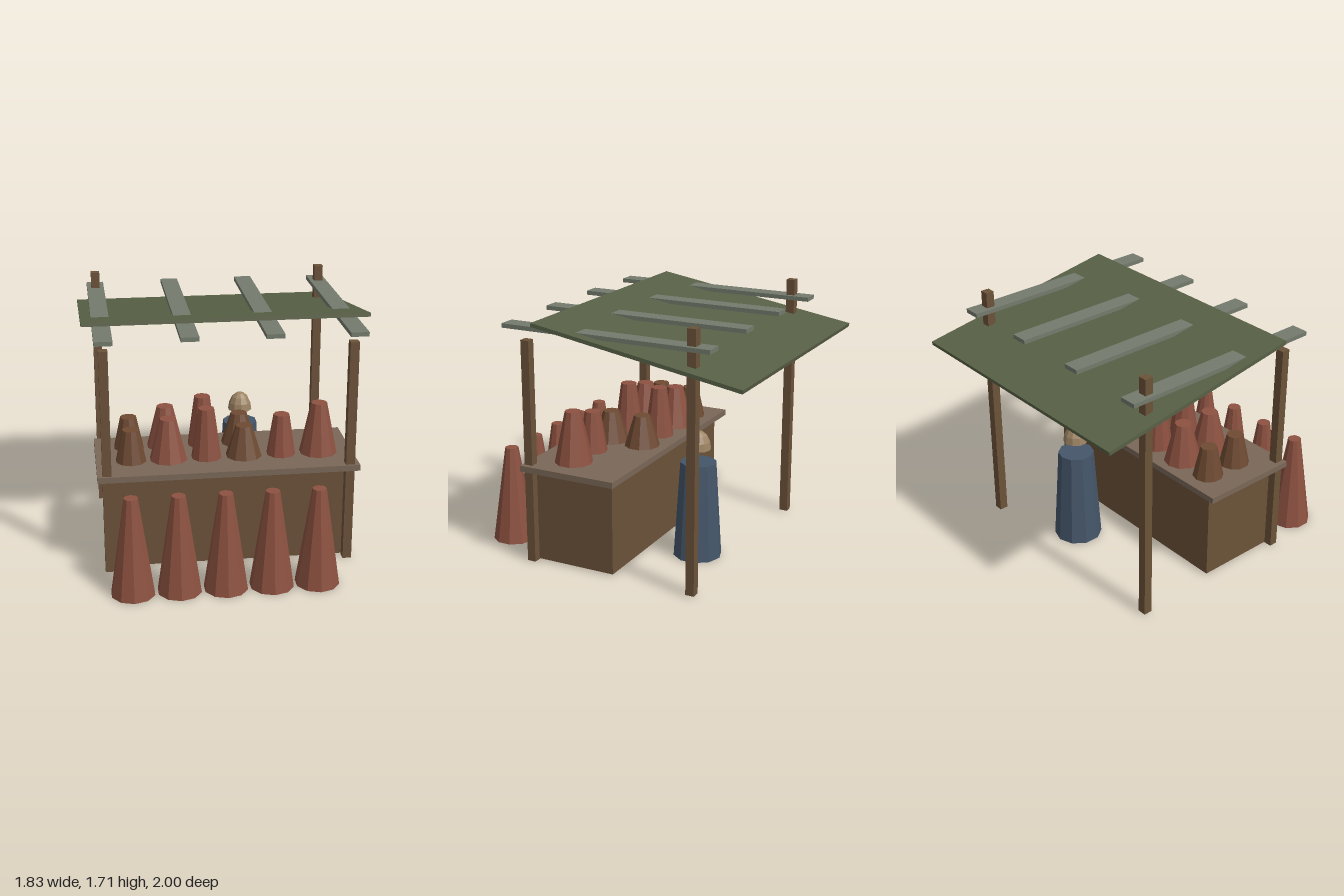
import * as THREE from 'three';

const mat = (color) => new THREE.MeshStandardMaterial({ color, flatShading: true, side: THREE.DoubleSide });

export function createModel() {
  const root = new THREE.Group();
  root.name = 'marketStall';

  const wood = mat(0x6b5239);
  const plank = mat(0x7a6858);
  const rafterWood = mat(0x747b6d);
  const cloth = mat(0x586046);
  const clay = mat(0x8c5140);
  const brown = mat(0x6e4a32);
  const blue = mat(0x45566a);
  const skin = mat(0x9c8363);

  const add = (name, geometry, material, x, y, z, parent = root) => {
    const mesh = new THREE.Mesh(geometry, material);
    mesh.name = name;
    mesh.position.set(x, y, z);
    parent.add(mesh);
    return mesh;
  };
  const box = (name, material, w, h, d, x, y, z) =>
    add(name, new THREE.BoxGeometry(w, h, d), material, x, y, z);
  // Ten-sided tapered body standing on height y
  const cone = (name, material, rTop, rBottom, h, x, y, z, parent) =>
    add(name, new THREE.CylinderGeometry(rTop, rBottom, h, 10), material, x, y + h / 2, z, parent);

  // Counter
  box('counterBody', wood, 1.53, 0.63, 0.555, 0, 0.325, 0.222);
  box('counterTop', plank, 1.695, 0.04, 0.68, -0.002, 0.655, 0.235);

  // Corner posts, the rear pair taller
  for (const x of [-0.788, 0.783]) {
    box('frontPost', wood, 0.058, 1.5, 0.058, x, 0.752, 0.532);
    box('backPost', wood, 0.058, 1.7, 0.058, x, 0.858, x < 0 ? -0.618 : -0.626);
  }

  // Sloping canopy, higher at the front
  const canopy = box('canopy', cloth, 1.825, 0.025, 1.436, -0.002, 1.518, -0.29);
  canopy.rotation.x = -0.164;

  // Rafters
  [-0.788, -0.265, 0.26, 0.783].forEach((x, i) => {
    const inner = i === 1 || i === 2;
    box('rafter', rafterWood, 0.115, 0.028, 1.437, x, inner ? 1.596 : 1.588, -0.04);
  });

  // Goods in two rows on the counter: x, height, base radius, top radius, material, rows
  const goods = [
    [-0.62, 0.215, 0.102, 0.055, brown, 2],
    [-0.375, 0.28, 0.125, 0.055, clay, 2],
    [-0.126, 0.34, 0.1, 0.053, clay, 2],
    [0.122, 0.21, 0.12, 0.055, brown, 2],
    [0.37, 0.276, 0.096, 0.053, clay, 1],
    [0.619, 0.345, 0.125, 0.053, clay, 1],
  ];
  const rowZ = [0.307, 0.07];
  for (const [x, h, rBottom, rTop, material, rows] of goods) {
    for (let r = 0; r < rows; r++) cone('goods', material, rTop, rBottom, h, x, 0.675, rowZ[r]);
  }

  // Row of customers in front
  for (let i = 0; i < 5; i++) cone('customer', clay, 0.045, 0.143, 0.655, -0.657 + i * 0.294, 0, 0.857);

  // Seller behind the counter, with a domed head
  const seller = new THREE.Group();
  seller.name = 'seller';
  seller.position.set(0.195, 0, -0.385);
  root.add(seller);
  cone('sellerBody', blue, 0.12, 0.162, 0.655, 0, 0, 0, seller);
  const dome = [[0.084, 0], [0.076, 0.05], [0.056, 0.093], [0.027, 0.117], [0, 0.124]]
    .map(([r, y]) => new THREE.Vector2(r, y));
  add('sellerHead', new THREE.LatheGeometry(dome, 10), skin, 0, 0.744, 0, seller);

  return root;
}
